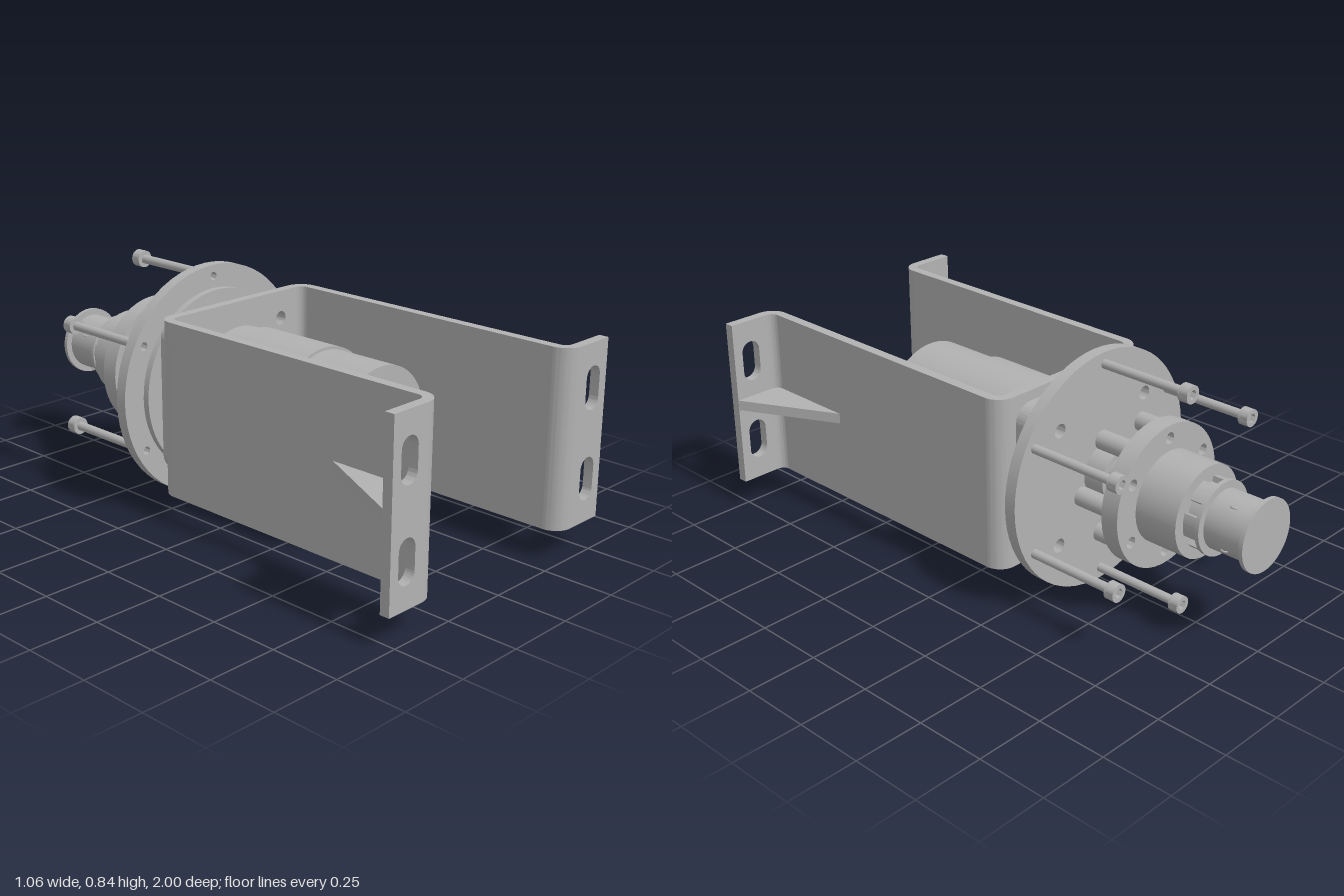
import * as THREE from 'three';
import { toCreasedNormals } from 'three/addons/utils/BufferGeometryUtils.js';

const AXIS = 0.424; // height of the drive axis
const BOTTOM = 0.112, TOP = 0.735; // bracket height range

export function createModel() {
  const model = new THREE.Group();
  model.name = 'motorMount';
  const steel = new THREE.MeshStandardMaterial({ color: 0xb2b2b2 });
  steel.name = 'grey steel';

  const add = (parent, name, geometry) => {
    const mesh = new THREE.Mesh(geometry, steel);
    mesh.name = name;
    parent.add(mesh);
    return mesh;
  };
  const group = (parent, name, y = 0) => {
    const g = new THREE.Group();
    g.name = name;
    g.position.y = y;
    parent.add(g);
    return g;
  };
  const circle = (r, x = 0, y = 0) => new THREE.Path().absarc(x, y, r, 0, Math.PI * 2, false);
  const disc = (r) => new THREE.Shape().absarc(0, 0, r, 0, Math.PI * 2, false);
  const polar = (r, deg) => {
    const a = THREE.MathUtils.degToRad(deg);
    return [r * Math.cos(a), r * Math.sin(a)];
  };
  const sixth = [0, 1, 2, 3, 4, 5].map((i) => i * 60);
  const corners = [[-0.21, -0.21], [0.21, -0.21], [0.21, 0.21], [-0.21, 0.21]];

  // Plate lying between two z positions
  const slab = (shape, z0, z1, seg = 20) => {
    const g = new THREE.ExtrudeGeometry(shape, { depth: z1 - z0, bevelEnabled: false, curveSegments: seg });
    return toCreasedNormals(g.translate(0, 0, z0), 0.6);
  };
  // Plan shape in x and z, raised between two heights
  const upright = (shape, y0, y1) => {
    const g = new THREE.ExtrudeGeometry(shape, { depth: y1 - y0, bevelEnabled: false, curveSegments: 10 });
    return toCreasedNormals(g.rotateX(Math.PI / 2).translate(0, y1, 0), 0.6);
  };
  const rod = (r, z0, z1, x = 0, y = 0, seg = 48) =>
    new THREE.CylinderGeometry(r, r, z1 - z0, seg).rotateX(Math.PI / 2).translate(x, y, (z0 + z1) / 2);
  const sector = (cx, cy, r0, r1, a0, a1) =>
    new THREE.Shape().absarc(cx, cy, r1, a0, a1, false).absarc(cx, cy, r0, a1, a0, true);
  const block = (x0, x1, y0, y1, z0, z1) =>
    new THREE.BoxGeometry(x1 - x0, y1 - y0, z1 - z0).translate((x0 + x1) / 2, (y0 + y1) / 2, (z0 + z1) / 2);

  // U-shaped bracket
  const bracket = group(model, 'bracket');
  const web = new THREE.Shape().setFromPoints([[-0.285, BOTTOM], [0.285, BOTTOM], [0.285, TOP], [-0.285, TOP]]
    .map((p) => new THREE.Vector2(...p)));
  corners.forEach(([x, y]) => web.holes.push(circle(0.025, x, AXIS + y)));
  add(bracket, 'bracketBase', slab(web, -0.195, -0.16));

  const q = Math.PI / 2;
  for (const s of [1, -1]) {
    const side = group(bracket, s > 0 ? 'leftArm' : 'rightArm');
    const a = s > 0 ? 0 : q;
    add(side, 'baseBend', upright(sector(s * 0.285, -0.13, 0.03, 0.065, s > 0 ? -q : 2 * q, s > 0 ? 0 : 3 * q), BOTTOM, TOP));
    add(side, 'arm', block(s > 0 ? 0.315 : -0.35, s > 0 ? 0.35 : -0.315, BOTTOM, TOP, -0.13, 0.935));
    add(side, 'footBend', upright(sector(s * 0.38, 0.935, 0.03, 0.065, q - a, 2 * q - a), BOTTOM, TOP));

    // Foot flange with two upright slots
    const [x0, x1] = s > 0 ? [0.38, 0.53] : [-0.53, -0.38];
    const foot = new THREE.Shape().setFromPoints([[x0, BOTTOM], [x1, BOTTOM], [x1, TOP], [x0, TOP]]
      .map((p) => new THREE.Vector2(...p)));
    for (const y of [0.267, 0.58]) {
      const slot = new THREE.Path().absarc(s * 0.457, y + 0.038, 0.037, 0, Math.PI, false);
      slot.absarc(s * 0.457, y - 0.038, 0.037, Math.PI, Math.PI * 2, false);
      slot.closePath();
      foot.holes.push(slot);
    }
    add(side, 'footFlange', slab(foot, 0.965, 1));

    // Triangular rib between arm and foot
    const rib = new THREE.Shape().setFromPoints([[0.345, 0.6], [0.53, 0.967], [0.345, 0.967]]
      .map(([x, z]) => new THREE.Vector2(s * x, z)));
    add(side, 'gusset', upright(rib, 0.406, 0.444));
  }

  // Motor body
  const motor = group(model, 'motor', AXIS);
  add(motor, 'motorNeck', rod(0.22, -0.16, -0.08, 0, 0, 64));
  add(motor, 'motorBody', rod(0.23, -0.08, 0.25, 0, 0, 64));
  add(motor, 'motorCap', rod(0.22, 0.25, 0.5, 0, 0, 64));

  // Spacer and mounting discs, drilled through for the corner bolts
  const mount = group(model, 'mount', AXIS);
  const spacer = new THREE.Shape();
  corners.forEach(([x, y], i) => spacer.absarc(x, y, 0.064, (i + 2) * q, (i + 3) * q, false));
  spacer.closePath();
  const ring = disc(0.337);
  const plate = disc(0.421);
  for (const shape of [spacer, ring, plate]) corners.forEach(([x, y]) => shape.holes.push(circle(0.025, x, y)));
  sixth.forEach((d) => plate.holes.push(circle(0.015, ...polar(0.38, d + 30))));
  add(mount, 'spacer', slab(spacer, -0.262, -0.195));
  add(mount, 'pilotRing', slab(ring, -0.287, -0.262, 32));
  add(mount, 'mountingDisc', slab(plate, -0.33, -0.287, 32));

  // Socket-head bolts behind the mounting disc
  const hexagon = () => new THREE.Path().setFromPoints(
    sixth.map((d) => new THREE.Vector2(...polar(0.017, d))));
  const head = disc(0.031);
  head.holes.push(hexagon());
  for (const d of sixth) {
    const bolt = group(mount, 'bolt');
    const [x, y] = polar(0.38, d + 30);
    bolt.position.set(x, y, 0);
    add(bolt, 'boltShank', rod(0.016, -0.67, -0.33, 0, 0, 20));
    add(bolt, 'boltHead', slab(head, -0.692, -0.662, 12));
    add(bolt, 'boltHeadBase', rod(0.031, -0.665, -0.655, 0, 0, 24));
  }

  // Coupling: shaft hub, pins, drilled flange
  const coupling = group(model, 'coupling', AXIS);
  add(coupling, 'shaftHub', rod(0.09, -0.41, -0.33));
  add(coupling, 'innerShaft', rod(0.07, -0.55, -0.41));
  add(coupling, 'innerCollar', rod(0.12, -0.51, -0.455));
  sixth.forEach((d) => add(coupling, 'pin', rod(0.033, -0.55, -0.41, ...polar(0.195, d), 24)));
  const flange = disc(0.25);
  sixth.forEach((d) => flange.holes.push(circle(0.02, ...polar(0.205, d + 30))));
  add(coupling, 'couplingFlange', slab(flange, -0.61, -0.545, 28));
  add(coupling, 'couplingBody', rod(0.16, -0.77, -0.61));

  // Toothed ring and output spool
  const spool = group(model, 'spool', AXIS);
  for (const d of sixth) {
    const a = THREE.MathUtils.degToRad(d);
    add(spool, 'tooth', slab(sector(0, 0, 0.09, 0.122, a - 0.33, a + 0.33), -0.82, -0.77, 8));
  }
  add(spool, 'spoolCollar', rod(0.128, -0.835, -0.82));
  add(spool, 'spoolBarrel', rod(0.102, -0.99, -0.77));
  add(spool, 'spoolEnd', rod(0.125, -1, -0.985));

  // Set screws around the barrel and shaft hub
  const setScrew = (r, deg, z) => {
    const [x, y] = polar(r, deg);
    const screw = add(spool, 'setScrew', new THREE.TorusGeometry(0.011, 0.003, 6, 16));
    screw.position.set(x, y, z);
    screw.lookAt(x * 2, y * 2, z);
  };
  for (const d of [60, 150, 240, 330]) setScrew(0.101, d, -0.91);
  for (const d of [140, 320]) setScrew(0.09, d, -0.37);

  return model;
}
